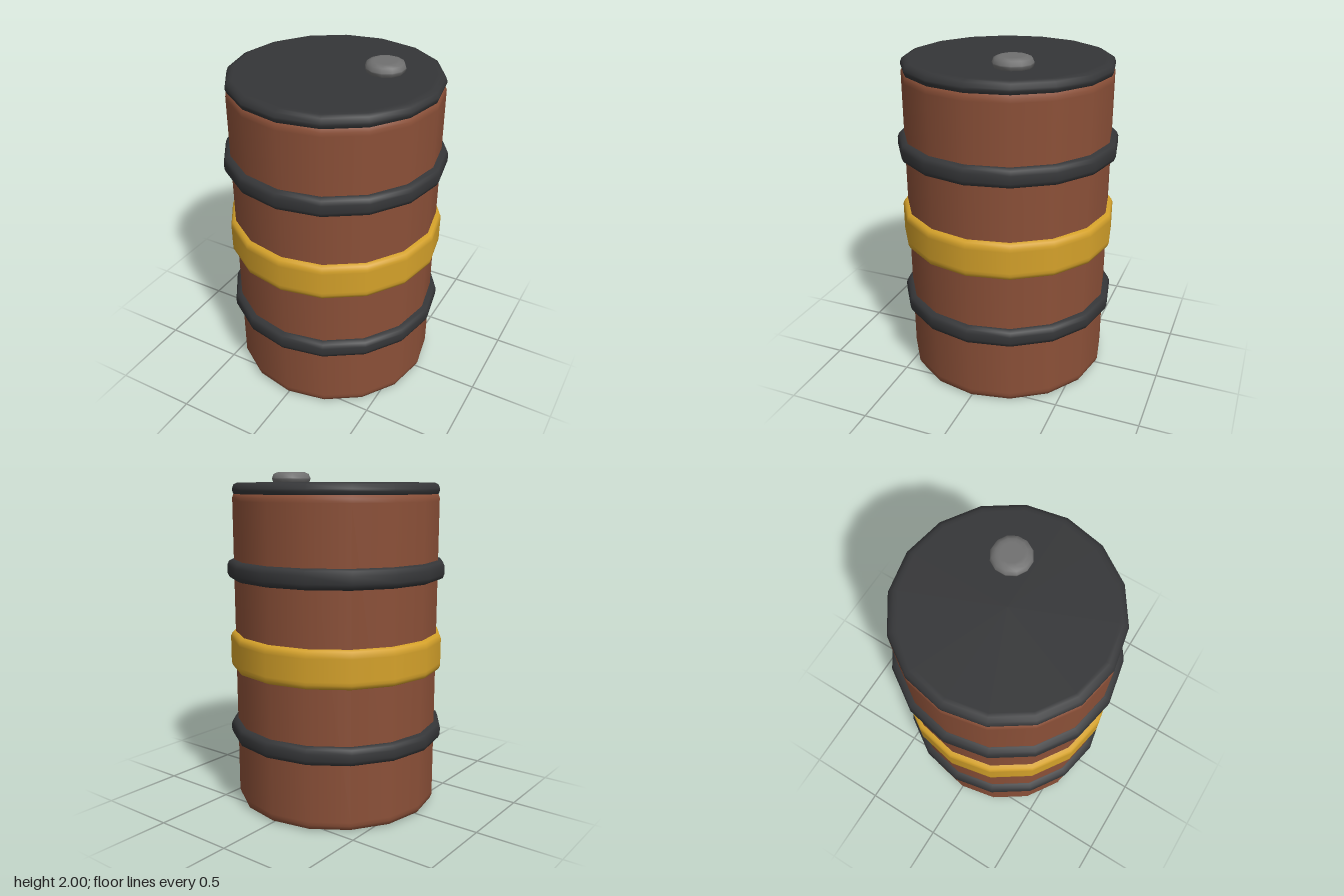
import * as THREE from 'three';

const SIDES = 16;
const material = (color) => new THREE.MeshStandardMaterial({ color });
const rust = material(0x8b5038);
const black = material(0x353638);
const yellow = material(0xd4a12a);
const metal = material(0x707070);

// Closed disc-like solid with rounded rims; extra loops beside each rim keep flats flat
function roundedDrum(name, mat, radius, y0, y1, bevel, sides = SIDES, start = 0, steps = 2) {
  const inner = radius - bevel;
  const pts = [[0, y0], [inner - 0.02, y0]];
  for (let i = 0; i <= steps; i++) {
    const a = (i / steps) * Math.PI / 2;
    pts.push([inner + bevel * Math.sin(a), y0 + bevel * (1 - Math.cos(a))]);
  }
  if (y1 - y0 > bevel * 4) {
    pts.push([radius, y0 + bevel * 1.6], [radius, y1 - bevel * 1.6]);
  }
  for (let i = steps; i >= 0; i--) {
    const a = (i / steps) * Math.PI / 2;
    pts.push([inner + bevel * Math.sin(a), y1 - bevel * (1 - Math.cos(a))]);
  }
  pts.push([inner - 0.02, y1], [0, y1]);
  const profile = pts.map(([r, y]) => new THREE.Vector2(r, y));
  const mesh = new THREE.Mesh(new THREE.LatheGeometry(profile, sides, start), mat);
  mesh.name = name;
  return mesh;
}

export function createModel() {
  const barrel = new THREE.Group();
  barrel.name = 'barrel';

  // Main drum and lid
  barrel.add(roundedDrum('body', rust, 0.615, 0, 1.89, 0.035));
  barrel.add(roundedDrum('lid', black, 0.615, 1.86, 1.94, 0.034));

  // Reinforcing hoops
  barrel.add(roundedDrum('lowerHoop', black, 0.655, 0.4, 0.51, 0.035));
  barrel.add(roundedDrum('upperHoop', black, 0.655, 1.38, 1.495, 0.035));

  // Wide painted band
  barrel.add(roundedDrum('band', yellow, 0.645, 0.835, 1.06, 0.03));

  // Off-centre filler cap on the lid
  const cap = roundedDrum('fillerCap', metal, 0.115, 1.925, 2, 0.034, 12, Math.PI / 12);
  cap.position.set(0.245, 0, -0.125);
  barrel.add(cap);

  return barrel;
}
